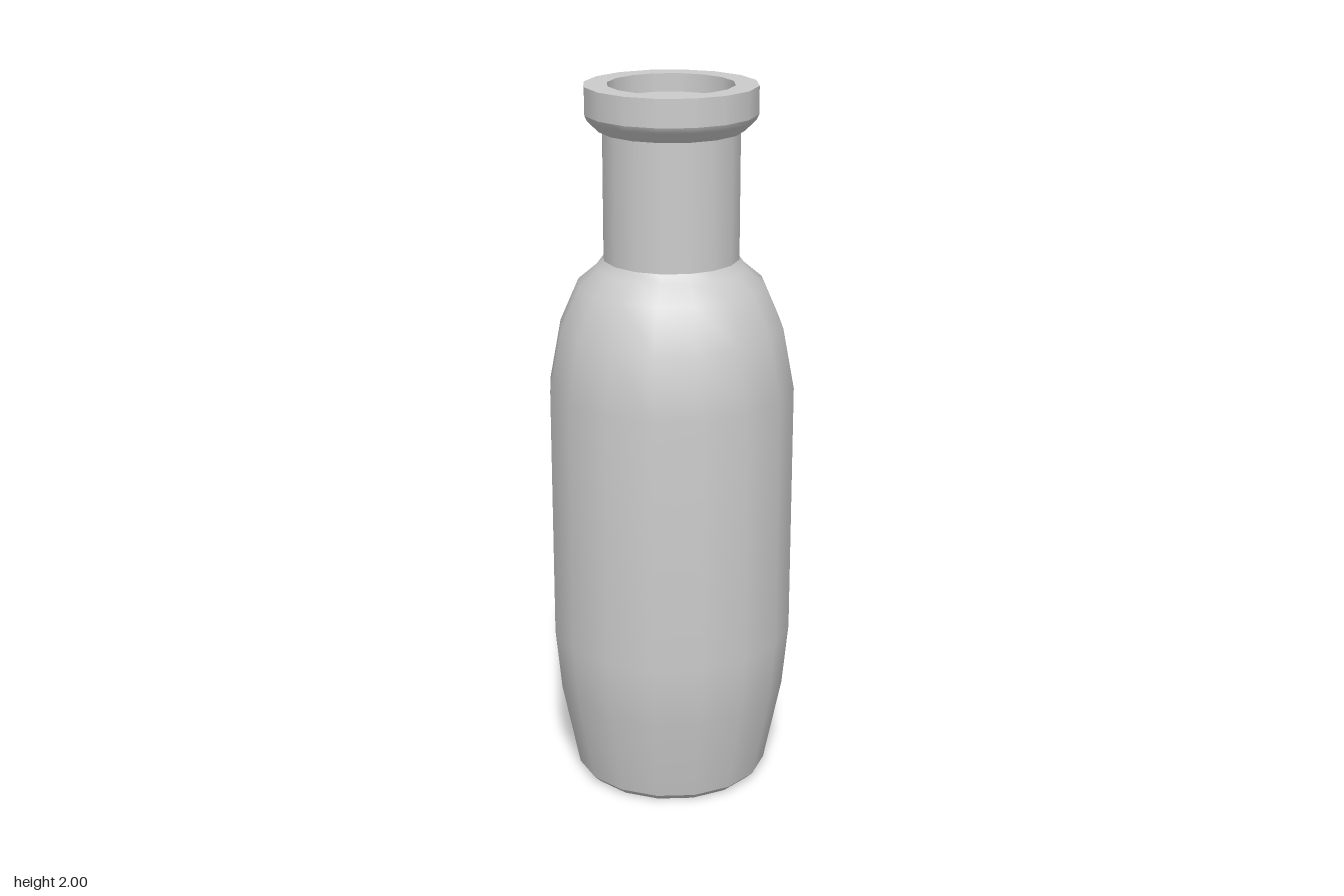
import * as THREE from 'three';

const SIDES = 16;

// Turn a profile of [radius, height] points, running from bottom centre up and inwards
function turned(name, profile, material) {
  const points = profile.map(([r, y]) => new THREE.Vector2(r, y));
  const mesh = new THREE.Mesh(new THREE.LatheGeometry(points, SIDES), material);
  mesh.name = name;
  return mesh;
}

export function createModel() {
  const group = new THREE.Group();
  group.name = 'bottle';
  const material = new THREE.MeshStandardMaterial({ color: 0xcccccc });

  // Each smooth run is its own part, so the edges between them stay sharp
  const parts = {
    base: [[0, 0], [0.255, 0]],
    baseBevel: [[0.255, 0], [0.275, 0.02]],
    body: [
      [0.275, 0.02], [0.325, 0.27], [0.342, 0.45], [0.342, 1.17],
      [0.31, 1.34], [0.258, 1.46], [0.205, 1.505], [0.187, 1.53],
    ],
    neck: [[0.187, 1.53], [0.187, 1.88]],
    collarUnderside: [[0.187, 1.88], [0.197, 1.88]],
    collarFlare: [[0.197, 1.88], [0.228, 1.91], [0.235, 1.925]],
    collar: [[0.235, 1.925], [0.235, 2]],
    rim: [[0.235, 2], [0.172, 2]],
    mouthWall: [[0.172, 2], [0.172, 1.95]],
    mouthFloor: [[0.172, 1.95], [0, 1.95]],
  };
  for (const [name, profile] of Object.entries(parts)) {
    group.add(turned(name, profile, material));
  }
  return group;
}
